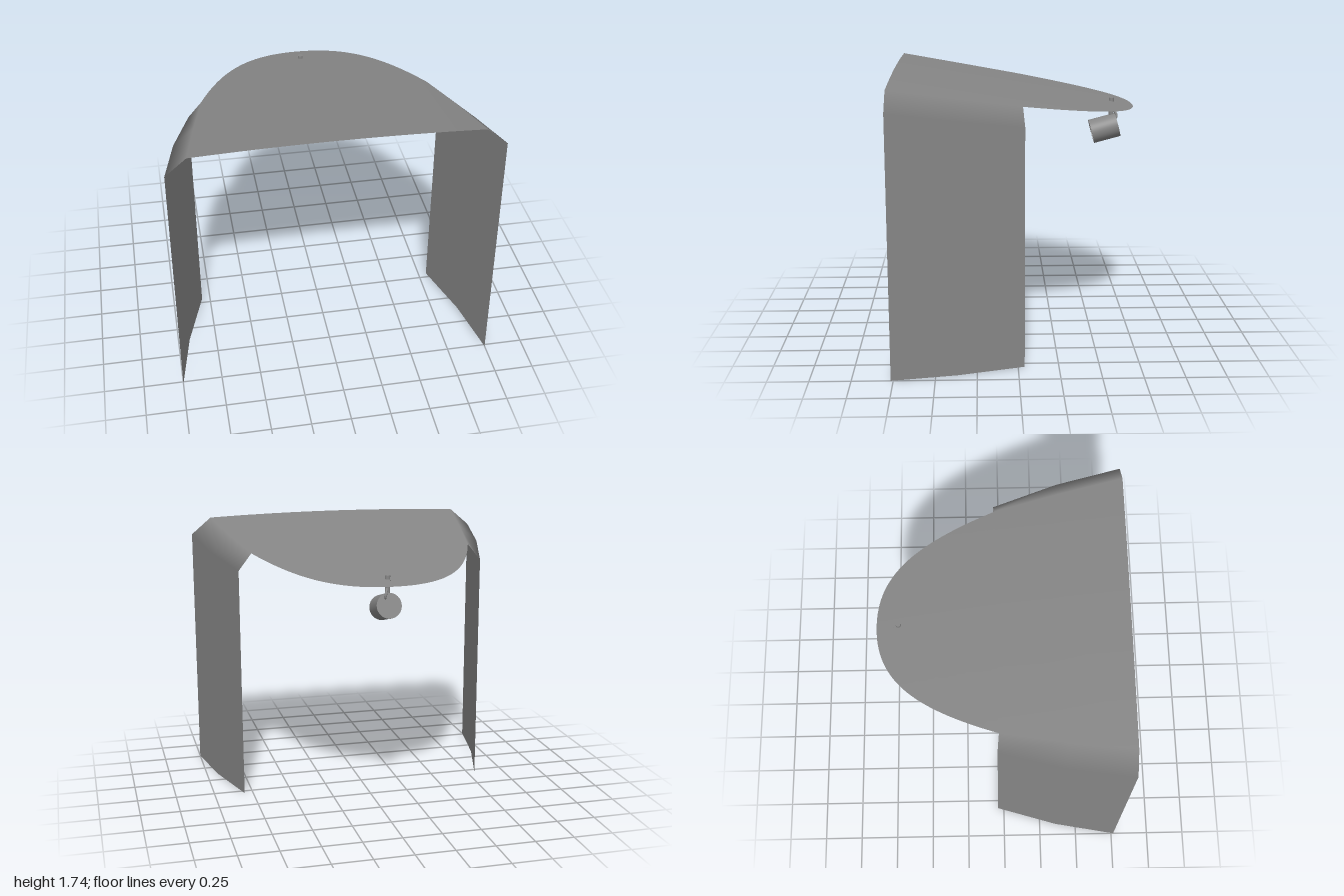
import * as THREE from 'three';
import { toCreasedNormals } from 'three/addons/utils/BufferGeometryUtils.js';

const V = (x, y, z) => new THREE.Vector3(x, y, z);
const darkGrey = new THREE.MeshStandardMaterial({ color: 0x868686 });
const sheetGrey = new THREE.MeshStandardMaterial({ color: 0x868686, side: THREE.DoubleSide });
const COLS = 16;

function add(parent, name, geometry, material = darkGrey) {
  const mesh = new THREE.Mesh(geometry, material);
  mesh.name = name;
  parent.add(mesh);
  return mesh;
}

// Smooth sheet through rows of { p, n } points, rows running front to back
function sheet(rows) {
  const pos = [], nor = [], index = [], w = rows[0].length;
  rows.forEach((row, i) => row.forEach(({ p, n }, j) => {
    pos.push(p.x, p.y, p.z);
    nor.push(n.x, n.y, n.z);
    if (i < rows.length - 1 && j < w - 1) {
      const a = i * w + j, c = a + w;
      index.push(a, a + 1, c, a + 1, c + 1, c);
    }
  }));
  const g = new THREE.BufferGeometry();
  g.setAttribute('position', new THREE.Float32BufferAttribute(pos, 3));
  g.setAttribute('normal', new THREE.Float32BufferAttribute(nor, 3));
  g.setIndex(index);
  return g;
}

// One line across the sloping, slightly cambered roof
function roofRow(halfWidth, z) {
  return Array.from({ length: COLS + 1 }, (_, j) => {
    const x = halfWidth * (2 * j / COLS - 1);
    return {
      p: V(x, 1.615 + 0.164 * z - 0.026 * x * x, z),
      n: V(0.052 * x, 1, -0.164).normalize(),
    };
  });
}

// Roof line continued over the bends and down both legs
function archRow([bendX, bendZ, legX, legZ, legTop]) {
  const leg = (side, y) => ({ p: V(side * legX, y, legZ), n: V(side * 0.97, 0, -0.24) });
  return [leg(-1, 0), leg(-1, legTop), ...roofRow(bendX, bendZ), leg(1, legTop), leg(1, 0)];
}

export function createModel() {
  const model = new THREE.Group();
  model.name = 'canopyWithLamp';

  // Folded arch: two legs, bends and the front of the roof
  const arch = [
    [0.87, 0.765, 1, 0.765, 1.61],
    [0.8, 0.365, 0.925, 0.36, 1.55],
    [0.72, -0.03, 0.805, -0.04, 1.49],
  ];
  add(model, 'archAndLegs', sheet(arch.map(archRow)), sheetGrey);

  // Rounded rear of the roof
  const outline = new THREE.CubicBezierCurve(
    new THREE.Vector2(0.72, -0.03), new THREE.Vector2(0.53, -0.56),
    new THREE.Vector2(0.33, -0.765), new THREE.Vector2(0, -0.765));
  const rear = outline.getPoints(32).map((q) => roofRow(q.x, q.y));
  add(model, 'roofRear', sheet(rear), sheetGrey);

  // Hanging spotlight
  const lamp = new THREE.Group();
  lamp.name = 'spotlight';
  model.add(lamp);

  const stem = add(lamp, 'stem', new THREE.CylinderGeometry(0.016, 0.016, 0.12, 20));
  stem.position.set(0, 1.473, -0.63);

  // Housing: closed back, recessed front
  const profile = [[0, -0.088], [0.078, -0.088], [0.078, 0.088], [0.067, 0.088], [0.067, 0.02], [0, 0.02]];
  const housing = toCreasedNormals(
    new THREE.LatheGeometry(profile.map(([r, y]) => new THREE.Vector2(r, y)), 40), 0.6);
  const can = add(lamp, 'housing', housing);
  can.position.set(0, 1.333, -0.587);
  can.rotation.x = THREE.MathUtils.degToRad(105);

  // Curved bracket and the pin through the stem
  const hook = new THREE.CatmullRomCurve3([
    V(0, 1.467, -0.602), V(0.005, 1.457, -0.634), V(0.015, 1.436, -0.658),
    V(0.022, 1.404, -0.66), V(0.02, 1.385, -0.636)]);
  add(lamp, 'bracket', new THREE.TubeGeometry(hook, 24, 0.008, 10));
  const pin = new THREE.LineCurve3(V(-0.01, 1.467, -0.606), V(-0.01, 1.503, -0.663));
  add(lamp, 'pin', new THREE.TubeGeometry(pin, 1, 0.007, 10), sheetGrey);

  return model;
}
